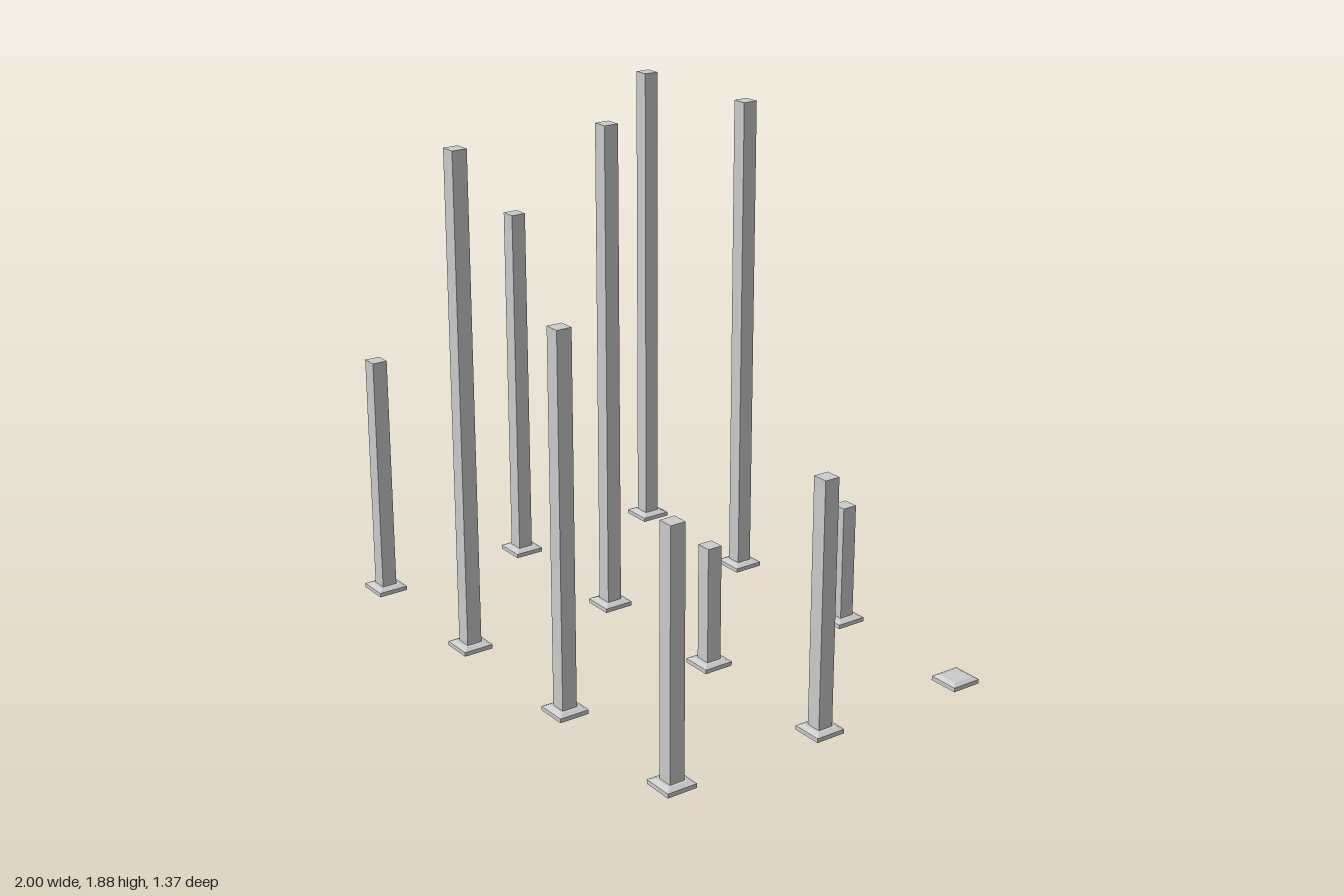
import * as THREE from 'three';

const SPACING = 0.6275;   // distance between neighbouring posts
const BASE = 0.1176;      // width of a base plate
const POST = 0.0588;      // width of a post
const PLATE_H = 0.016;    // straight part of the base
const BASE_H = 0.0245;    // base including its sloped cap
const LEVEL = 0.4706;     // one height step

// Post heights in steps: rows run back to front, columns from -x to +x
const LEVELS = [
  [4, 4, 1, 0],
  [3, 4, 1, 2],
  [2, 4, 3, 2],
];

export function createModel() {
  const model = new THREE.Group();
  model.name = 'postGrid';
  const grey = new THREE.MeshStandardMaterial({ color: 0xcccccc, flatShading: true });

  const plateGeo = new THREE.BoxGeometry(BASE, PLATE_H, BASE).translate(0, PLATE_H / 2, 0);

  // Shallow square frustum on top of the plate
  const capH = BASE_H - PLATE_H;
  const capGeo = new THREE.CylinderGeometry(0.04 * Math.SQRT2, (BASE / 2) * Math.SQRT2, capH, 4, 1)
    .rotateY(Math.PI / 4)
    .translate(0, PLATE_H + capH / 2, 0);

  const add = (parent, geometry, name) => {
    const mesh = new THREE.Mesh(geometry, grey);
    mesh.name = name;
    parent.add(mesh);
  };

  LEVELS.forEach((row, r) => row.forEach((steps, c) => {
    const unit = new THREE.Group();
    unit.name = `post_row${r + 1}_column${c + 1}`;
    unit.position.set((c - 1.5) * SPACING, 0, (r - 1) * SPACING);
    add(unit, plateGeo, 'basePlate');
    add(unit, capGeo, 'baseCap');

    // Square shaft; a level of zero leaves a bare base
    if (steps > 0) {
      const h = steps * LEVEL - BASE_H;
      add(unit, new THREE.BoxGeometry(POST, h, POST).translate(0, BASE_H + h / 2, 0), 'shaft');
    }
    model.add(unit);
  }));

  return model;
}
